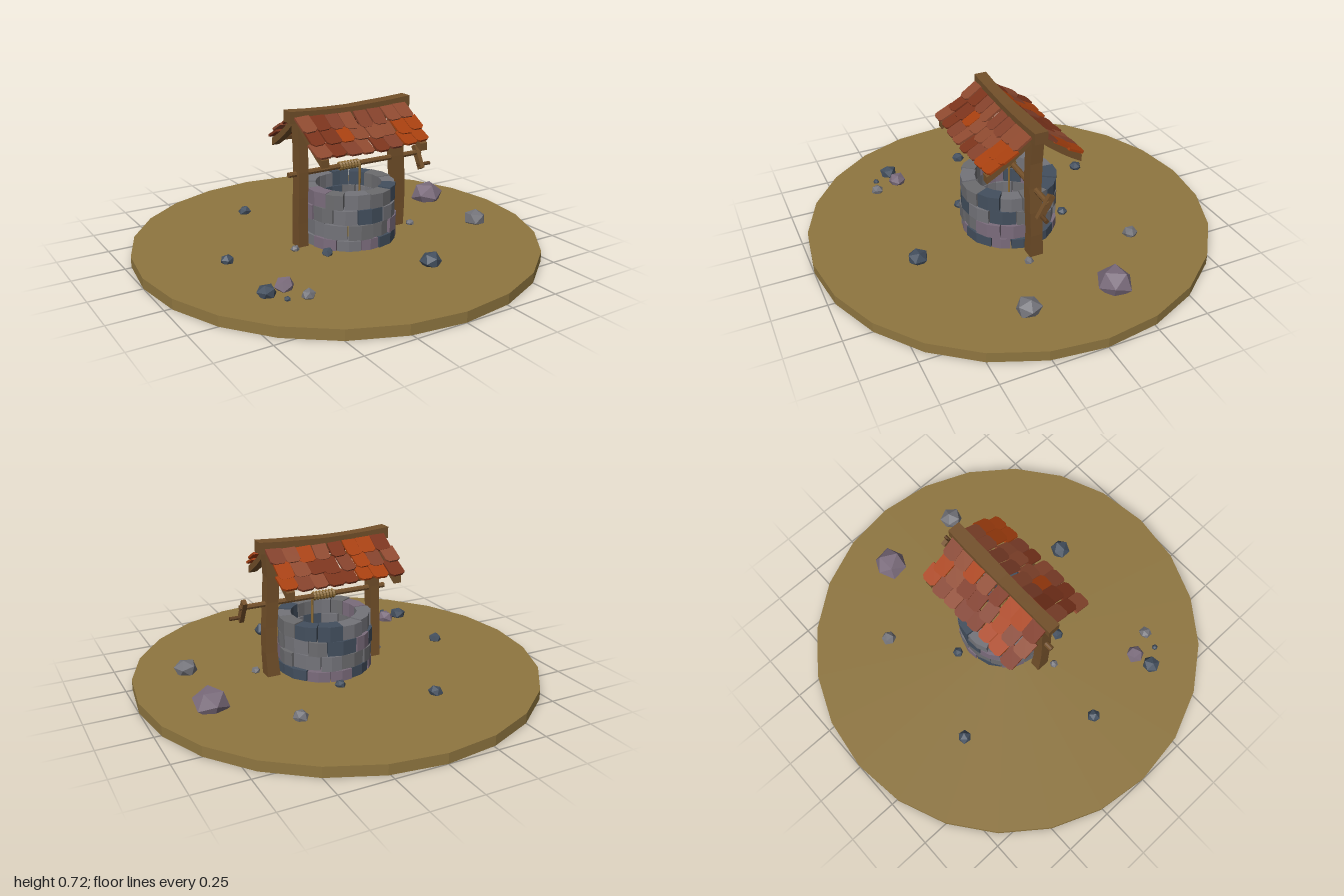
import * as THREE from 'three';

const CX = 0.055, CZ = 0.03; // centre of the well
const GROUND = 0.05;
const STONE = [0x74747a, 0x7b6c7c, 0x434f5e, 0x6c6c6f];
const TILE = [0xa8400f, 0x84412b, 0x7c341c, 0x8f4a30];
const WOOD = 0x73502a, DARK_WOOD = 0x5f3f20, ROPE = 0x8a6a35;

const mats = {};
const mat = (color) => mats[color] ??= new THREE.MeshStandardMaterial({ color, flatShading: true, roughness: 0.9 });

// Small seeded generator; rnd(a, b) lies between a and b
let seed = 7;
function rnd(a = 0, b = 1) {
  seed = (seed * 16807) % 2147483647;
  return a + (b - a) * (seed / 2147483647);
}

function add(parent, name, geometry, color, x = 0, y = 0, z = 0) {
  const mesh = new THREE.Mesh(geometry, mat(color));
  mesh.name = name;
  mesh.position.set(x, y, z);
  parent.add(mesh);
  return mesh;
}

// Move every vertex of a geometry by a rule
function warp(geometry, rule) {
  const p = geometry.attributes.position, v = new THREE.Vector3();
  for (let i = 0; i < p.count; i++) {
    rule(v.fromBufferAttribute(p, i));
    p.setXYZ(i, v.x, v.y, v.z);
  }
  geometry.computeVertexNormals();
  return geometry;
}

// Height of the roof surface at distance d from the ridge, and its slope angle
const roofY = (d) => 0.683 - 0.85 * (d - 0.03) + 0.75 * (d - 0.03) ** 2;
const roofAngle = (d) => Math.atan(0.85 - 1.5 * (d - 0.03));
const sag = (x) => -0.014 * (1 - (x / 0.34) ** 2);

// One curved block of the well wall
function stoneGeometry(a0, a1, y0, y1, rIn, rOut) {
  return warp(new THREE.BoxGeometry(1, 1, 1, 2, 1, 1), (v) => {
    const a = a0 + (v.x + 0.5) * (a1 - a0);
    const r = v.z > 0 ? rOut : rIn;
    const inset = v.z > 0 && Math.abs(v.x) > 0.4 ? 0.004 : 0;
    v.set(Math.sin(a) * (r - inset), v.y > 0 ? y1 : y0, Math.cos(a) * (r - inset));
  });
}

function buildWall() {
  const wall = new THREE.Group();
  wall.name = 'wellWall';
  wall.position.set(CX, 0, CZ);
  const levels = [0.045, 0.105, 0.18, 0.255, 0.33];
  const n = 12, step = Math.PI * 2 / n;
  for (let row = 0; row < 4; row++) {
    const start = row * step * 0.5 + 0.2;
    const cuts = Array.from({ length: n }, (_, i) => start + i * step + rnd(-0.09, 0.09));
    cuts.push(cuts[0] + Math.PI * 2);
    for (let i = 0; i < n; i++) {
      const bulge = rnd(-0.007, 0.007);
      const geo = stoneGeometry(cuts[i] + 0.012, cuts[i + 1] - 0.012, levels[row] + 0.001,
        levels[row + 1] - rnd(0, 0.005), 0.165 + rnd(-0.005, 0.005), 0.233 + bulge);
      add(wall, 'wallStone', geo, STONE[Math.floor(rnd(0, 4))]);
    }
  }
  return wall;
}

// Thin tile with clipped lower corners, running from z = 0 to z = length
function tileGeometry(w, length) {
  const h = w / 2, c = 0.016;
  const shape = new THREE.Shape([[-h, 0], [-h, -length + c], [-h + c, -length + rnd(0, 0.004)],
    [h - c, -length + rnd(0, 0.006)], [h, -length + c], [h, 0]].map(([x, y]) => new THREE.Vector2(x, y)));
  return new THREE.ExtrudeGeometry(shape, { depth: 0.011, bevelEnabled: false }).rotateX(-Math.PI / 2);
}

function buildRoofSide(name, turn) {
  const side = new THREE.Group();
  side.name = name;
  side.position.set(CX, 0, CZ);
  side.rotation.y = turn;
  // Rows of tiles, laid from the eave up
  [0.155, 0.09, 0.025].forEach((d, row) => {
    const n = 8, pitch = 0.63 / n;
    for (let i = 0; i < n; i++) {
      const x = -0.315 + pitch * (i + 0.5) + (row % 2 ? 0.01 : -0.004) + rnd(-0.004, 0.004);
      const tile = add(side, 'roofTile', tileGeometry(pitch * rnd(0.88, 1.04), rnd(0.093, 0.108)),
        TILE[Math.floor(rnd(0, 4))], x, roofY(d) + sag(x) + 0.002, d);
      tile.rotation.set(roofAngle(d + 0.05) - rnd(0.03, 0.1), rnd(-0.05, 0.05), rnd(-0.03, 0.03));
    }
  });
  // Curved rafters and the purlin under the eave
  for (const s of [-1, 1]) {
    const rafter = warp(new THREE.BoxGeometry(0.04, 0.036, 0.225, 1, 1, 4), (v) => {
      const d = v.z + 0.1225;
      v.y += roofY(d) - 0.024;
    });
    add(side, 'rafter', rafter, WOOD, s * 0.275, 0, 0.1225);
  }
  const purlin = warp(new THREE.BoxGeometry(0.56, 0.018, 0.022, 6, 1, 1), (v) => { v.y += sag(v.x); });
  add(side, 'purlin', purlin, DARK_WOOD, 0, roofY(0.19) - 0.018, 0.19);
  return side;
}

function buildFrame() {
  const frame = new THREE.Group();
  frame.name = 'woodenFrame';
  // Slightly bent posts
  for (const [name, x, w, bend] of [['rightPost', -0.217, 0.05, 0.003], ['leftPost', 0.338, 0.06, -0.009]]) {
    const post = warp(new THREE.BoxGeometry(w, 0.63, 0.06, 1, 5, 1), (v) => {
      const t = v.y / 0.315;
      v.x += bend * Math.sin(t * 3);
      v.z += 0.004 * Math.cos(t * 3);
      if (t < -0.9) { v.x *= 1.08; v.z *= 1.12; }
    });
    add(frame, name, post, WOOD, x, GROUND + 0.31, CZ);
  }
  // Sagging ridge beam
  const ridge = warp(new THREE.BoxGeometry(0.675, 0.056, 0.063, 6, 1, 1), (v) => {
    v.y += sag(v.x) + (v.x > 0 ? 0.003 : 0);
    v.z *= 1 + 0.08 * Math.sin(v.x * 9);
  });
  add(frame, 'ridgeBeam', ridge, WOOD, 0.057, 0.692, CZ - 0.005);
  return frame;
}

function buildWinch() {
  const winch = new THREE.Group();
  winch.name = 'winch';
  winch.position.set(0, 0.412, CZ);
  const rod = (name, r, len, color, x, y, z) =>
    add(winch, name, new THREE.CylinderGeometry(r, r, len, 8).rotateZ(Math.PI / 2), color, x, y, z);
  rod('axle', 0.014, 0.77, WOOD, 0.105, 0, 0);
  // Rope wound on the axle, then hanging into the well
  for (let i = 0; i < 7; i++) {
    add(winch, 'ropeCoil', new THREE.TorusGeometry(0.015, 0.0085, 5, 10).rotateY(Math.PI / 2 + 0.12),
      ROPE, 0.005 + i * 0.0168);
  }
  add(winch, 'hangingRope', new THREE.CylinderGeometry(0.006, 0.006, 0.32, 6), ROPE, 0.108, -0.16, 0.018);
  // Crank arm and handle
  const arm = add(winch, 'crankArm', new THREE.BoxGeometry(0.022, 0.125, 0.032), WOOD, 0.472, -0.022, 0.01);
  arm.rotation.x = -0.5;
  rod('crankHandle', 0.01, 0.075, DARK_WOOD, 0.493, -0.058, 0.03);
  return winch;
}

function buildRocks() {
  const rocks = new THREE.Group();
  rocks.name = 'rocks';
  // x, z, radius, stone colour
  const list = [
    [-0.25, -0.52, 0.035, 2], [0.41, -0.465, 0.038, 0], [0.72, -0.19, 0.09, 1], [0.105, -0.25, 0.027, 2],
    [-0.61, 0.035, 0.034, 2], [0.705, 0.23, 0.06, 0], [-0.615, 0.44, 0.045, 2], [-0.52, 0.42, 0.047, 1],
    [-0.565, 0.525, 0.016, 2], [-0.475, 0.545, 0.034, 0], [0.17, 0.545, 0.052, 2], [-0.275, 0.075, 0.022, 0],
    [0.4, 0.08, 0.023, 0], [-0.17, 0.2, 0.03, 2],
  ];
  for (const [x, z, r, c] of list) {
    const k = rnd(0, 6);
    const geo = warp(new THREE.IcosahedronGeometry(r, 0).rotateY(k).rotateX(k * 0.7), (v) => {
      v.multiplyScalar(1 + 0.09 * Math.sin(v.x / r * 4 + k) * Math.cos(v.z / r * 3));
      v.y *= 0.85;
    });
    add(rocks, 'rock', geo, STONE[c], x, GROUND + r * 0.3, z);
  }
  return rocks;
}

export function createModel() {
  seed = 7;
  const model = new THREE.Group();
  model.name = 'stoneWell';
  add(model, 'ground', new THREE.CylinderGeometry(1, 1, GROUND, 24), 0x8f7640, 0, GROUND / 2, 0);
  model.add(buildWall(), buildFrame(), buildWinch(), buildRocks(),
    buildRoofSide('frontRoof', 0), buildRoofSide('backRoof', Math.PI));
  return model;
}
